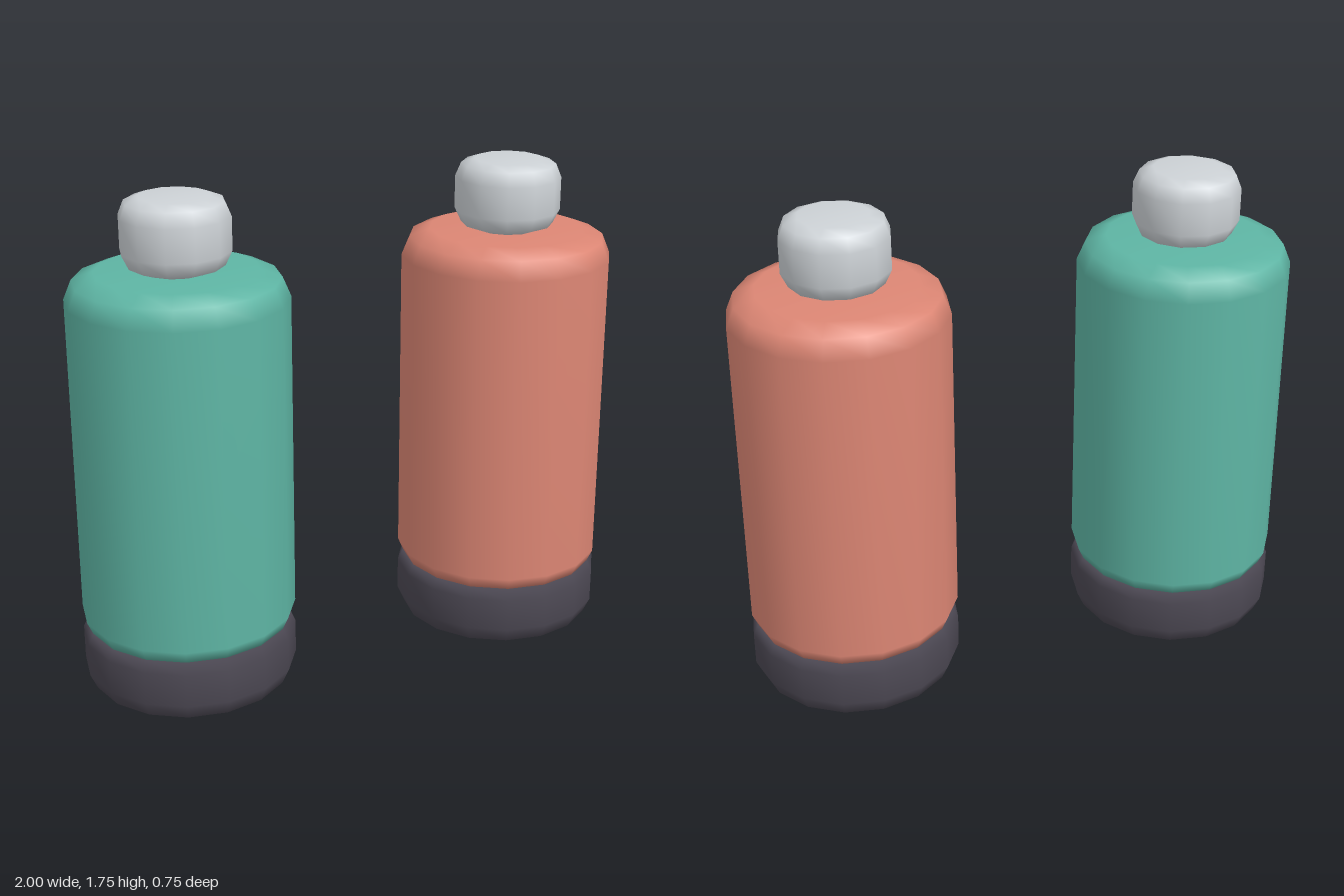
import * as THREE from 'three';

const material = (name, color) => {
  const m = new THREE.MeshStandardMaterial({ color });
  m.name = name;
  return m;
};

// Revolve a [radius, height] profile, listed from bottom to top
function turned(name, profile, sides, mat) {
  const points = profile.map(([r, y]) => new THREE.Vector2(r, y));
  const mesh = new THREE.Mesh(new THREE.LatheGeometry(points, sides), mat);
  mesh.name = name;
  return mesh;
}

const baseProfile = [[0, 0], [0.3, 0], [0.35, 0.02], [0.375, 0.075], [0.375, 0.195], [0.355, 0.236], [0, 0.236]];
const bodyProfile = [[0, 0.235], [0.355, 0.235], [0.375, 0.28], [0.375, 1.405], [0.347, 1.472], [0.275, 1.5], [0, 1.5]];
const capProfile = [[0, 1.5], [0.11, 1.5], [0.163, 1.52], [0.187, 1.57], [0.187, 1.685], [0.167, 1.733], [0.12, 1.75], [0, 1.75]];

export function createModel() {
  const model = new THREE.Group();
  model.name = 'bottlePair';

  const teal = material('teal', 0x5eb5a4);
  const coral = material('coral', 0xdc8674);
  const silver = material('silver', 0xcdd2d6);
  const charcoal = material('charcoal', 0x4c4853);

  // Two matching bottles in different colours
  for (const [name, x, paint] of [['rightBottle', -0.625, teal], ['leftBottle', 0.625, coral]]) {
    const bottle = new THREE.Group();
    bottle.name = name;
    bottle.position.x = x;
    bottle.add(
      turned('base', baseProfile, 16, charcoal),
      turned('body', bodyProfile, 16, paint),
      turned('cap', capProfile, 12, silver),
    );
    model.add(bottle);
  }
  return model;
}
